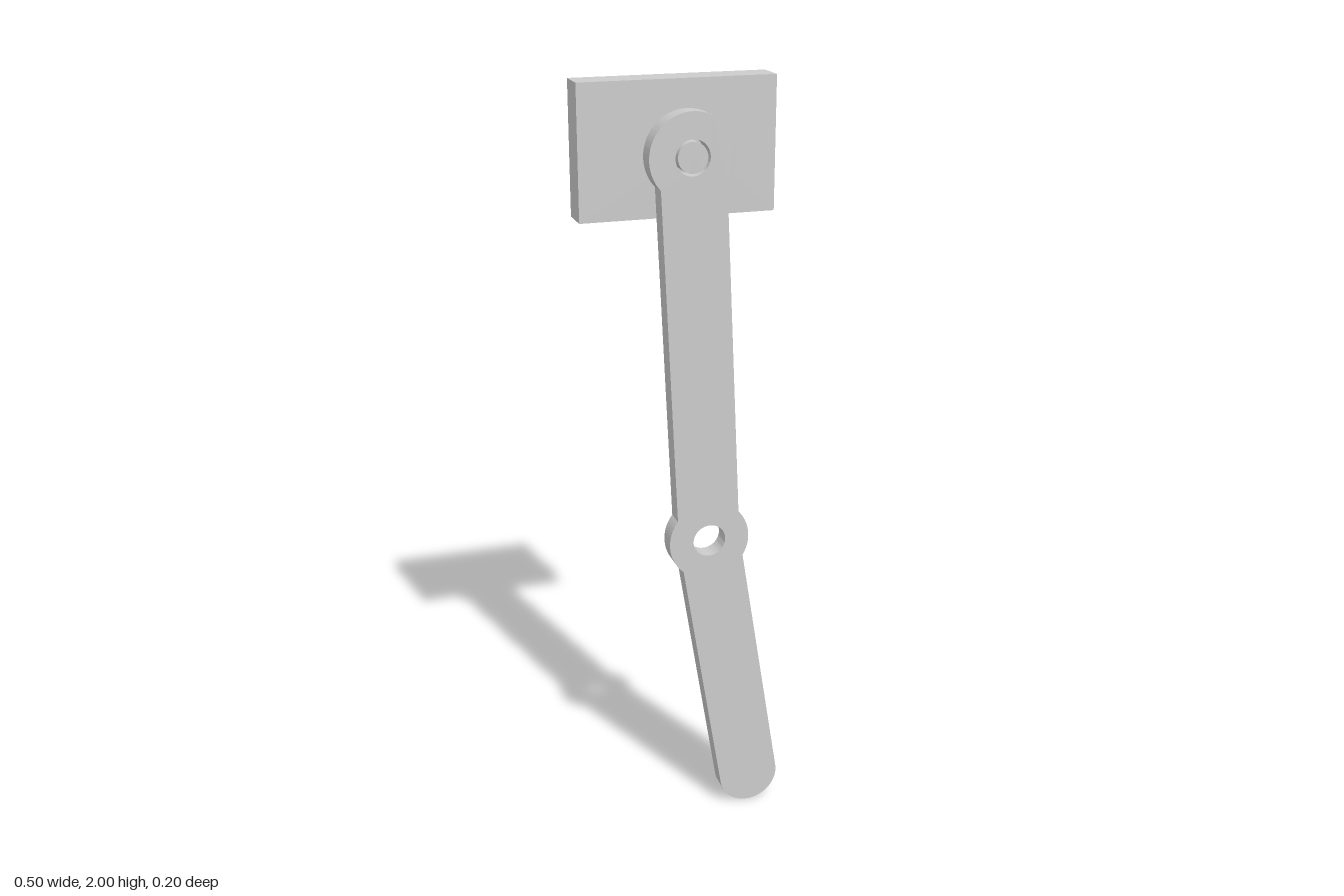
import * as THREE from 'three';
import { toCreasedNormals } from 'three/addons/utils/BufferGeometryUtils.js';

const HIP = new THREE.Vector2(-0.002, 1.833);
const KNEE = new THREE.Vector2(0.046, 0.833);
const FOOT = new THREE.Vector2(0.168, 0.083);
const HALF_WIDTH = 0.083, EYE = 0.108, HOLE = 0.0435, PIN = 0.0375;

function addHole(shape, centre) {
  const hole = new THREE.Path();
  hole.absarc(centre.x, centre.y, HOLE, 0, Math.PI * 2, true);
  shape.holes.push(hole);
}

function extrude(name, shape, zBack, zFront, material) {
  const geometry = new THREE.ExtrudeGeometry(shape, {
    depth: zFront - zBack, bevelEnabled: false, curveSegments: 40,
  });
  geometry.translate(0, 0, zBack);
  const mesh = new THREE.Mesh(toCreasedNormals(geometry, Math.PI / 6), material);
  mesh.name = name;
  return mesh;
}

export function createModel() {
  const group = new THREE.Group();
  group.name = 'hangingLinkage';
  const material = new THREE.MeshStandardMaterial({ color: 0xcccccc });

  // Mounting plate with a bore for the pin
  const plate = new THREE.Shape([
    new THREE.Vector2(-0.252, 1.667), new THREE.Vector2(0.25, 1.667),
    new THREE.Vector2(0.25, 2), new THREE.Vector2(-0.252, 2),
  ]);
  addHole(plate, HIP);
  group.add(extrude('mountingPlate', plate, -0.104, -0.02, material));

  // Bent arm: round eyes at the pivot and the knee, rounded free end
  const upper = KNEE.clone().sub(HIP).angle();
  const lower = FOOT.clone().sub(KNEE).angle();
  const spread = Math.asin(HALF_WIDTH / EYE); // half angle where the bar meets an eye
  const arm = new THREE.Shape();
  const arc = (c, r, from, to) => arm.absarc(c.x, c.y, r, from, to, false);
  arc(HIP, EYE, upper + spread, upper - spread + Math.PI * 2);
  arc(KNEE, EYE, upper - Math.PI + spread, lower - spread);
  arc(FOOT, HALF_WIDTH, lower - Math.PI / 2, lower + Math.PI / 2);
  arc(KNEE, EYE, lower + spread, upper + Math.PI - spread);
  arm.closePath();
  addHole(arm, HIP);
  addHole(arm, KNEE);
  group.add(extrude('bentArm', arm, 0.05, 0.1, material));

  // Pivot pin, flush with the outer faces
  const pin = new THREE.Mesh(new THREE.CylinderGeometry(PIN, PIN, 0.204, 48), material);
  pin.name = 'pivotPin';
  pin.rotation.x = Math.PI / 2;
  pin.position.set(HIP.x, HIP.y, -0.002);
  group.add(pin);

  return group;
}
